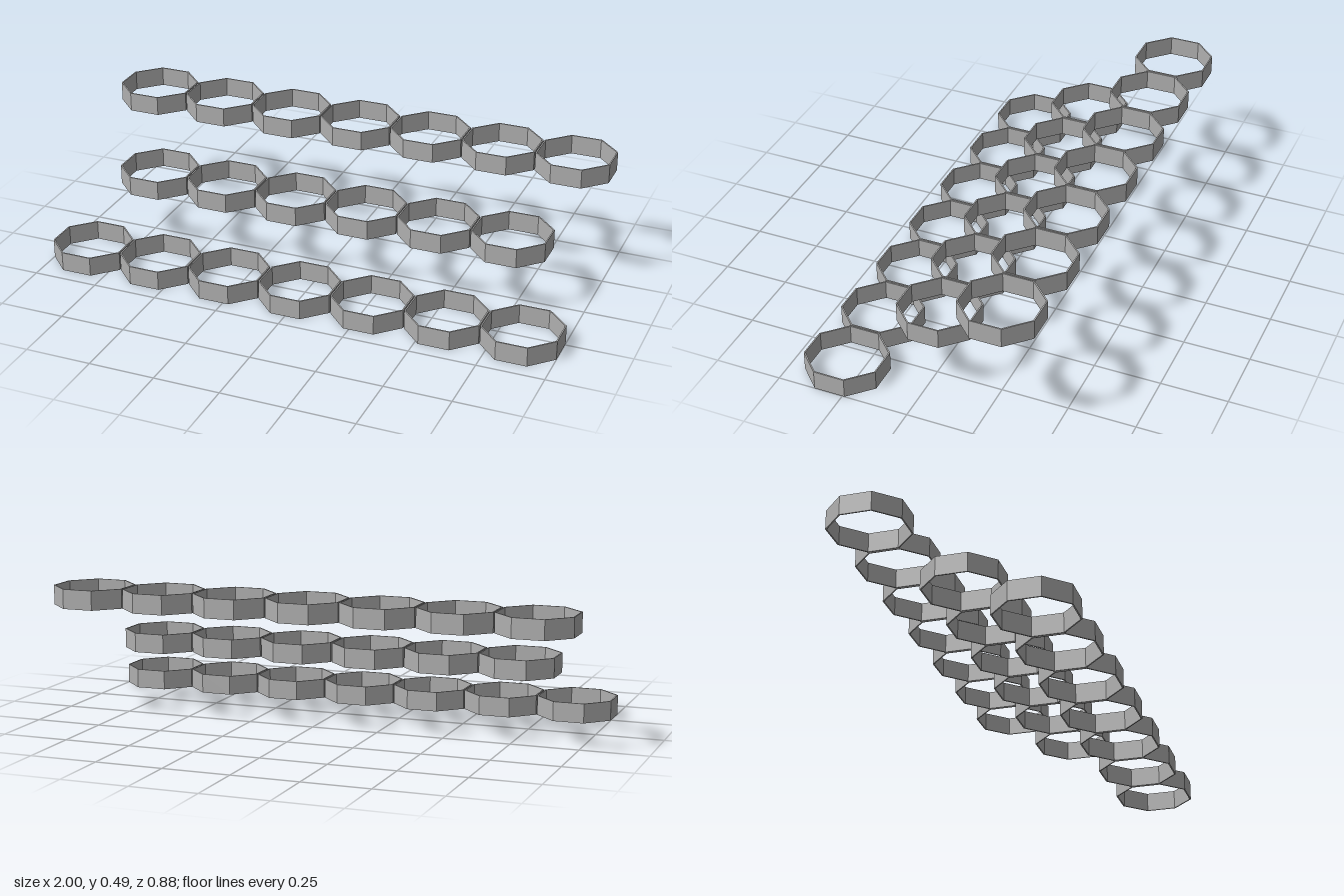
import * as THREE from 'three';

const APOTHEM = 0.141, WALL = 0.005, HEIGHT = 0.074, PITCH = 0.2863;

// Octagon with flat sides facing the x and z axes
function octagon(PathType, apothem) {
  const r = apothem / Math.cos(Math.PI / 8);
  const points = [];
  for (let i = 0; i < 8; i++) {
    const a = Math.PI / 8 + (i * Math.PI) / 4;
    points.push(new THREE.Vector2(r * Math.cos(a), r * Math.sin(a)));
  }
  return new PathType(points);
}

export function createModel() {
  const model = new THREE.Group();
  model.name = 'octagonRingRows';
  const grey = new THREE.MeshStandardMaterial({ color: 0xb0b0b0 });
  grey.name = 'grey';

  // Thin-walled octagonal ring, open at top and bottom
  const outline = octagon(THREE.Shape, APOTHEM);
  outline.holes.push(octagon(THREE.Path, APOTHEM - WALL));
  const ring = new THREE.ExtrudeGeometry(outline, { depth: HEIGHT, bevelEnabled: false });
  ring.rotateX(-Math.PI / 2);

  // Three staggered rows, each higher and further back
  const rows = [
    { name: 'frontRow', count: 7, y: 0, z: 0.3 },
    { name: 'middleRow', count: 6, y: 0.208, z: 0 },
    { name: 'backRow', count: 7, y: 0.415, z: -0.3 },
  ];
  for (const { name, count, y, z } of rows) {
    const row = new THREE.Group();
    row.name = name;
    row.position.set(0, y, z);
    for (let i = 0; i < count; i++) {
      const mesh = new THREE.Mesh(ring, grey);
      mesh.name = 'ring' + (i + 1);
      mesh.position.x = (i - (count - 1) / 2) * PITCH;
      row.add(mesh);
    }
    model.add(row);
  }
  return model;
}
